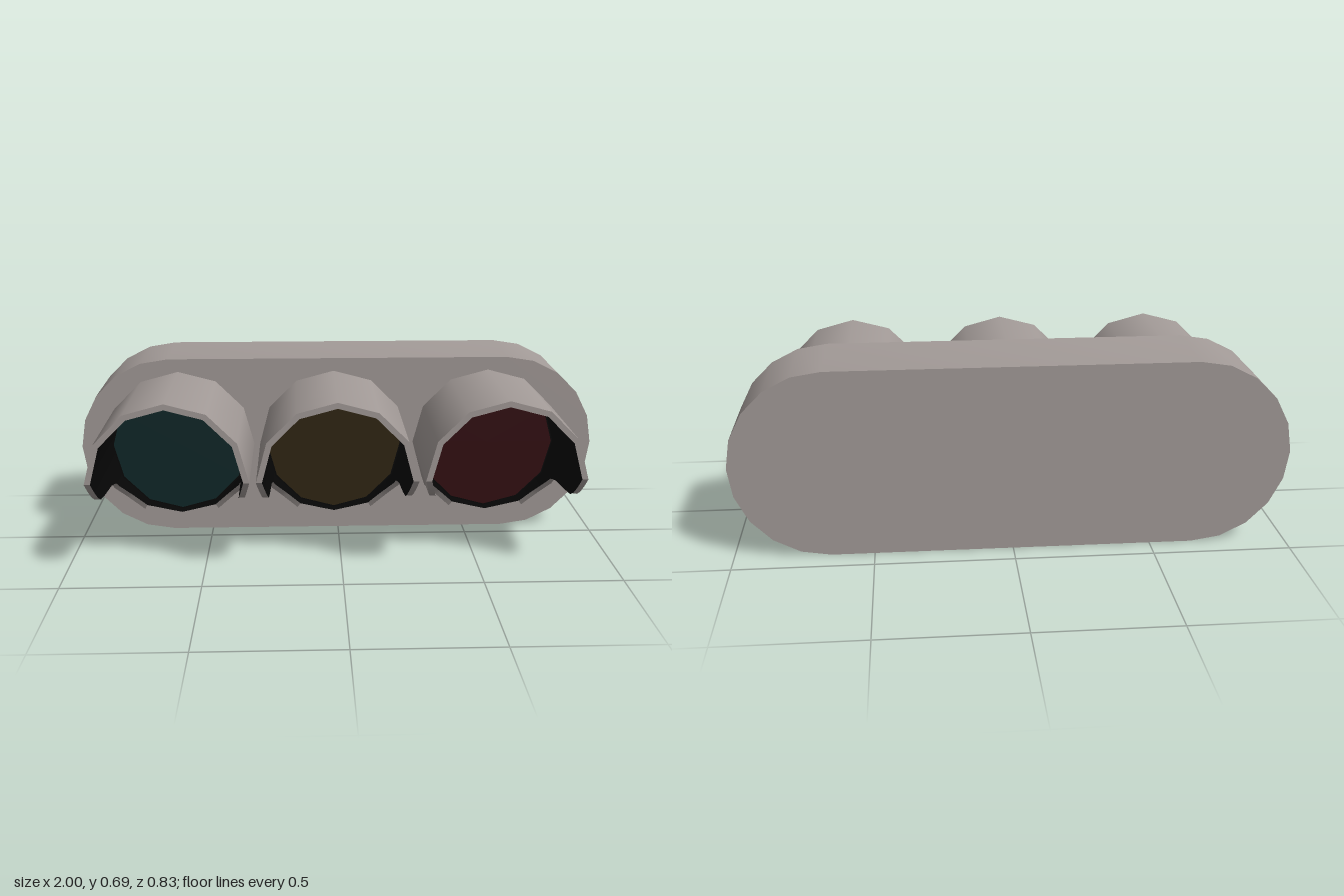
import * as THREE from 'three';
import { toCreasedNormals } from 'three/addons/utils/BufferGeometryUtils.js';

const BACK = -0.413, FACE = -0.083, FRONT = 0.413, CY = 0.352;
const OUTER = 0.2885, INNER = 0.267;

// Side profile of the visor's cut edge: [y, z] from bottom to top
const CUT = [[0.085, -0.037], [0.1, -0.03], [0.125, -0.02], [0.17, 0], [0.22, 0.03], [0.24, 0.06],
  [0.258, 0.15], [0.265, 0.29], [0.272, 0.34], [0.29, 0.37], [0.32, 0.395], [0.352, FRONT]];

function cutZ(y) {
  if (y <= CUT[0][0]) return CUT[0][1];
  for (let i = 1; i < CUT.length; i++) {
    const [y0, z0] = CUT[i - 1], [y1, z1] = CUT[i];
    if (y <= y1) return z0 + (z1 - z0) * (y - y0) / (y1 - y0);
  }
  return FRONT;
}

// Point on a 12-sided ring at an angle in degrees
function ringPoint(r, deg) {
  const local = ((deg % 30) + 30) % 30 - 15;
  const d = r * Math.cos(Math.PI / 12) / Math.cos(THREE.MathUtils.degToRad(local));
  const a = THREE.MathUtils.degToRad(deg);
  return [d * Math.cos(a), d * Math.sin(a)];
}

// Fine steps along the curved cut, one step per side over the top
function angles(from) {
  const list = [];
  for (let a = from; a < 0; a += 2) list.push(a);
  for (let a = 0; a <= 180; a += 30) list.push(a);
  for (let a = 182; a <= 180 - from; a += 2) list.push(a);
  return list;
}

// Strip of quads between two equally long rows of points
function strip(rowA, rowB, normals) {
  const pos = [], index = [];
  rowA.forEach((p, i) => {
    pos.push(...p, ...rowB[i]);
    const k = 2 * i;
    if (i < rowA.length - 1) index.push(k, k + 2, k + 3, k, k + 3, k + 1);
  });
  const g = new THREE.BufferGeometry();
  g.setAttribute('position', new THREE.Float32BufferAttribute(pos, 3));
  g.setIndex(index);
  if (normals) g.setAttribute('normal', new THREE.Float32BufferAttribute(normals, 3));
  else g.computeVertexNormals();
  return g;
}

const backRow = (r, list) => list.map(a => [...ringPoint(r, a), FACE]);
const frontRow = (r, list) => list.map(a => {
  const [x, y] = ringPoint(r, a);
  return [x, y, cutZ(y + CY)];
});
const radial = (list, sign) => list.flatMap(a => {
  const t = THREE.MathUtils.degToRad(a);
  const n = [sign * Math.cos(t), sign * Math.sin(t), 0];
  return [...n, ...n];
});

export function createModel() {
  const mat = (name, color, side = THREE.FrontSide) => {
    const m = new THREE.MeshStandardMaterial({ color, side });
    m.name = name;
    return m;
  };
  const grey = mat('warm grey', 0xa39b98, THREE.DoubleSide);
  const black = mat('black', 0x060606, THREE.DoubleSide);
  const lenses = [mat('dark teal', 0x102728), mat('dark amber', 0x302613), mat('dark red', 0x330f12)];

  const model = new THREE.Group();
  const add = (parent, name, geo, material) => {
    const m = new THREE.Mesh(geo, material);
    m.name = name;
    parent.add(m);
    return m;
  };

  // Housing: rounded-end slab
  const R = 0.345, E = 1 - R;
  const outline = [];
  for (let i = 0; i <= 10; i++) {
    const a = -Math.PI / 2 + i * Math.PI / 10;
    outline.push(new THREE.Vector2(E + R * Math.cos(a), R + R * Math.sin(a)));
  }
  for (let i = 0; i <= 10; i++) {
    const a = Math.PI / 2 + i * Math.PI / 10;
    outline.push(new THREE.Vector2(-E + R * Math.cos(a), R + R * Math.sin(a)));
  }
  const slab = new THREE.ExtrudeGeometry(new THREE.Shape(outline), { depth: FACE - BACK, bevelEnabled: false });
  slab.translate(0, 0, BACK);
  add(model, 'housing', toCreasedNormals(slab, 0.6), grey);

  // Visor shell open at the bottom, with a full black lining
  const shellAngles = angles(-60), liningAngles = angles(-90);
  const shell = strip(backRow(OUTER, shellAngles), frontRow(OUTER, shellAngles), radial(shellAngles, 1));
  const rim = toCreasedNormals(strip(frontRow(OUTER, shellAngles), frontRow(INNER, shellAngles)), 0.5);
  const lining = strip(frontRow(INNER, liningAngles), backRow(INNER, liningAngles), radial(liningAngles, -1));
  const ends = [-60, 240].map(a => strip(
    [...backRow(OUTER, [a]), ...frontRow(OUTER, [a])],
    [...backRow(INNER, [a]), ...frontRow(INNER, [a])]));

  [-0.617, -0.017, 0.583].forEach((x, i) => {
    const lamp = new THREE.Group();
    lamp.name = ['rightLamp', 'middleLamp', 'leftLamp'][i];
    lamp.position.set(x, CY, 0);
    add(lamp, 'visorShell', shell, grey);
    add(lamp, 'visorRim', rim, grey);
    ends.forEach(g => add(lamp, 'visorEnd', g, grey));
    add(lamp, 'visorLining', lining, black);
    add(lamp, 'lensSurround', new THREE.CircleGeometry(INNER, 12), black).position.z = FACE + 0.003;
    add(lamp, 'lens', new THREE.CircleGeometry(0.26, 12), lenses[i]).position.z = FACE + 0.009;
    model.add(lamp);
  });
  return model;
}
